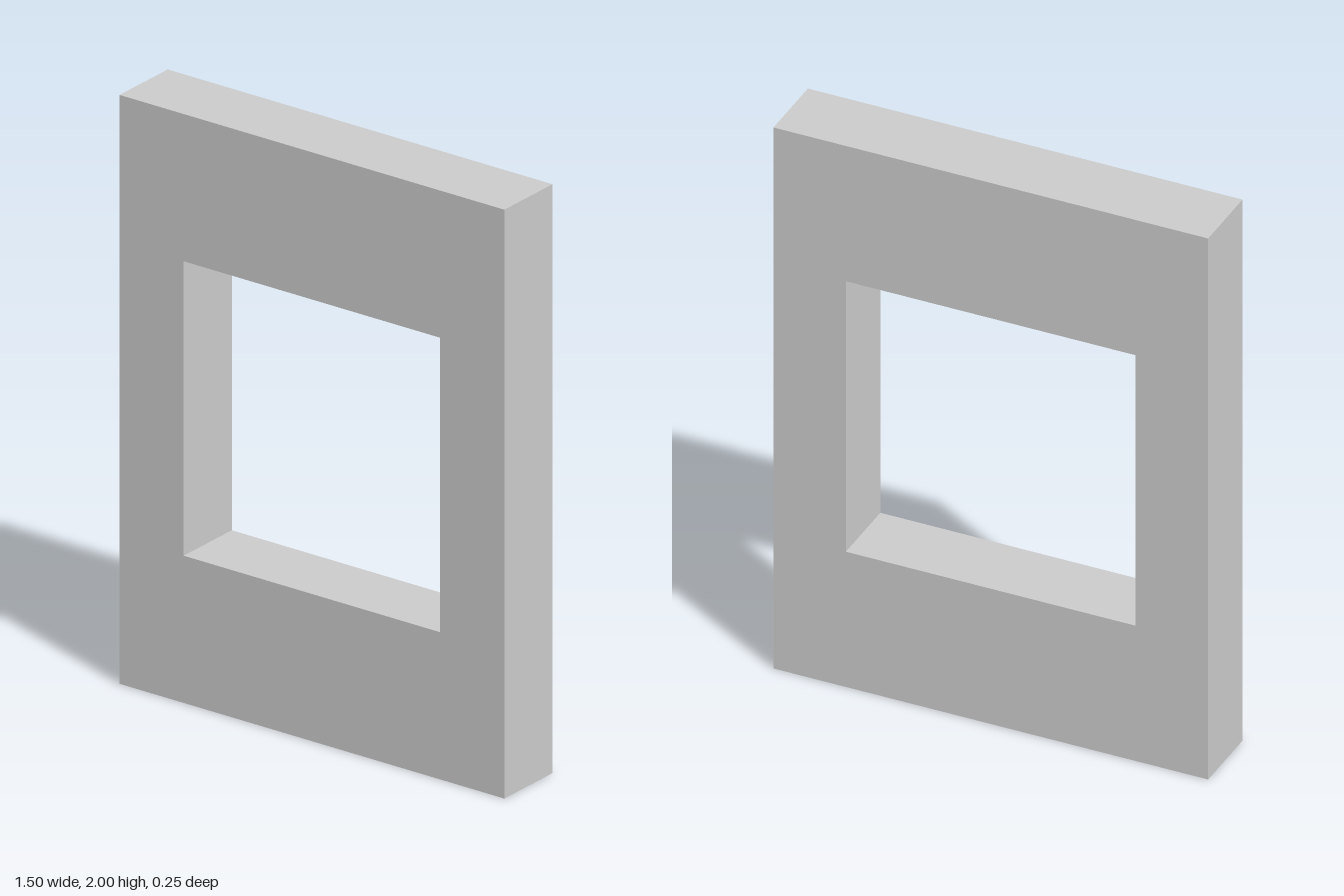
import * as THREE from 'three';

const WIDTH = 1.5, HEIGHT = 2, DEPTH = 0.25, OPENING = 1;

// Closed rectangle centred on (0, cy)
function rectangle(PathType, w, h, cy) {
  return new PathType([
    new THREE.Vector2(-w / 2, cy - h / 2),
    new THREE.Vector2(w / 2, cy - h / 2),
    new THREE.Vector2(w / 2, cy + h / 2),
    new THREE.Vector2(-w / 2, cy + h / 2),
  ]);
}

export function createModel() {
  const group = new THREE.Group();
  group.name = 'windowWall';

  // Upright wall panel with a square opening through it
  const outline = rectangle(THREE.Shape, WIDTH, HEIGHT, HEIGHT / 2);
  outline.holes.push(rectangle(THREE.Path, OPENING, OPENING, HEIGHT / 2));
  const geometry = new THREE.ExtrudeGeometry(outline, { depth: DEPTH, bevelEnabled: false });
  geometry.translate(0, 0, -DEPTH / 2);

  const wall = new THREE.Mesh(
    geometry,
    new THREE.MeshStandardMaterial({ color: 0xcccccc, flatShading: true })
  );
  wall.name = 'wallWithOpening';
  group.add(wall);
  return group;
}
